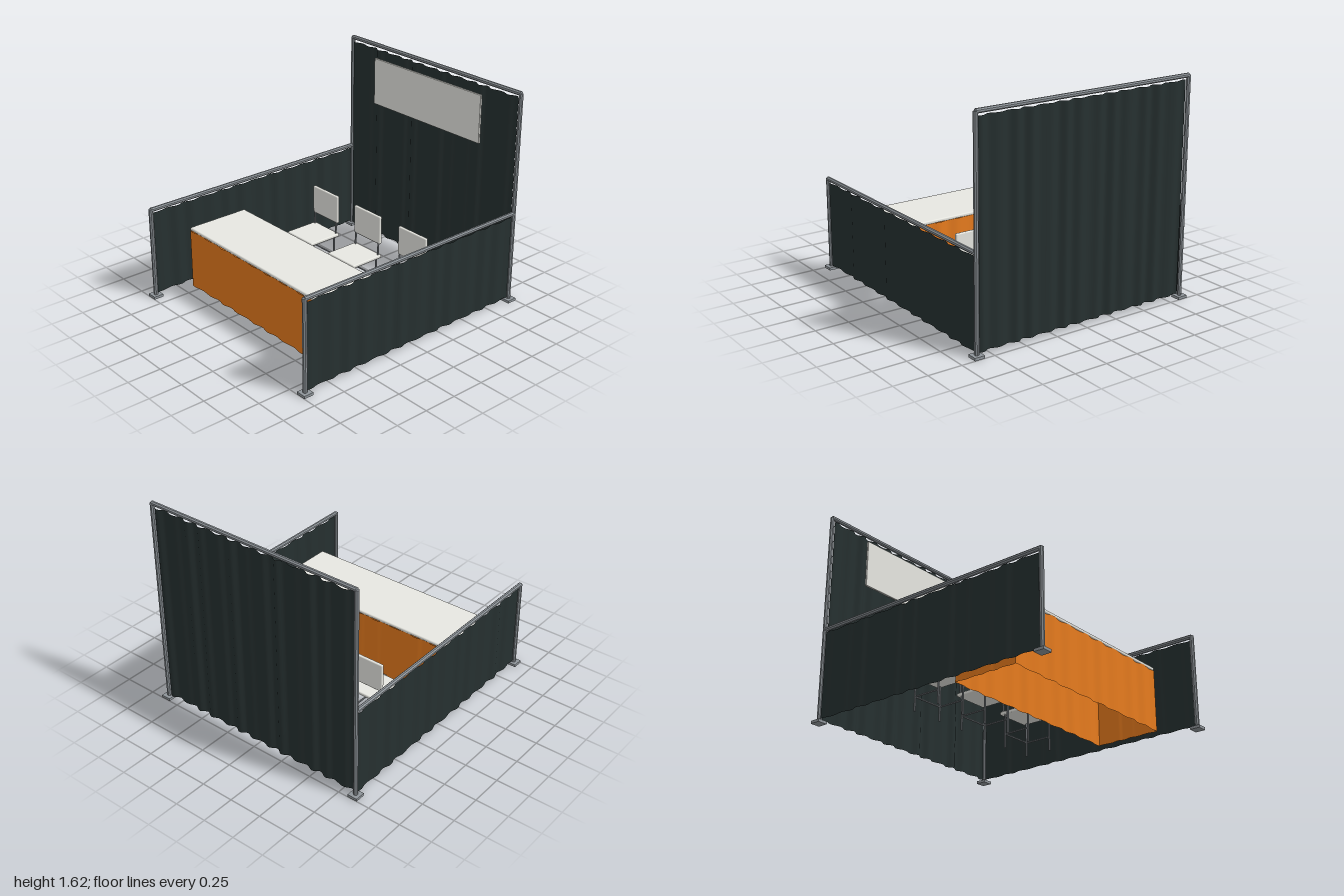
import * as THREE from 'three';
import { RoundedBoxGeometry } from 'three/addons/geometries/RoundedBoxGeometry.js';

const mat = (name, color, side = THREE.FrontSide) => {
  const m = new THREE.MeshStandardMaterial({ color, side });
  m.name = name;
  return m;
};

export function createModel() {
  const root = new THREE.Group();
  root.name = 'exhibitionBooth';
  const metal = mat('grey metal', 0x8f959a);
  metal.flatShading = true;
  const drapeMat = mat('dark drape', 0x263030, THREE.DoubleSide);
  const skirtMat = mat('orange cloth', 0xe67b1e, THREE.DoubleSide);
  const pale = mat('pale grey', 0xe8e8e2);

  const add = (parent, name, geo, material, x = 0, y = 0, z = 0) => {
    const m = new THREE.Mesh(geo, material);
    m.name = name;
    m.position.set(x, y, z);
    parent.add(m);
    return m;
  };

  // Eight-sided tube between two points, flat faces to the front
  const rod = (parent, name, a, b, r) => {
    const p = new THREE.Vector3(...a), q = new THREE.Vector3(...b);
    const d = q.clone().sub(p);
    const geo = new THREE.CylinderGeometry(r, r, d.length(), 8, 1, false, Math.PI / 8);
    const m = add(parent, name, geo, metal);
    m.position.copy(p).add(q).multiplyScalar(0.5);
    m.quaternion.setFromUnitVectors(new THREE.Vector3(0, 1, 0), d.normalize());
  };

  // Hanging cloth with soft, slightly uneven vertical folds
  const cloth = (parent, name, width, y0, y1, folds, depth, material) => {
    const geo = new THREE.PlaneGeometry(width, y1 - y0, folds * 12, 1);
    const pos = geo.attributes.position;
    for (let i = 0; i < pos.count; i++) {
      const t = (pos.getX(i) / width + 0.5) * Math.PI * 2 * folds;
      pos.setZ(i, depth * (0.75 * Math.sin(t) + 0.25 * Math.sin(t * 1.37 + 1)));
    }
    geo.computeVertexNormals();
    return add(parent, name, geo, material, 0, (y0 + y1) / 2, 0);
  };

  // Frame: posts, feet and top rails
  const frame = new THREE.Group();
  frame.name = 'frame';
  root.add(frame);
  const PX = 0.863, PZ = 0.962, R = 0.0165;
  for (const s of [-1, 1]) {
    for (const [end, z, h] of [['back', -PZ, 1.6], ['front', PZ, 0.705]]) {
      add(frame, end + 'Foot', new THREE.BoxGeometry(0.076, 0.02, 0.076), metal, s * PX, 0.01, z);
      rod(frame, end + 'Post', [s * PX, 0.015, z], [s * PX, h, z], R);
    }
    rod(frame, 'sideRail', [s * PX, 0.7, -PZ], [s * PX, 0.7, PZ], R);
  }
  rod(frame, 'backRail', [-PX, 1.6, -PZ], [PX, 1.6, -PZ], R);

  // Drapes
  cloth(root, 'backDrape', 1.69, 0.03, 1.57, 13, 0.015, drapeMat).position.z = -0.957;
  for (const s of [-1, 1]) {
    const d = cloth(root, 'sideDrape', 1.89, 0.03, 0.675, 12, 0.01, drapeMat);
    d.rotation.y = s * Math.PI / 2;
    d.position.x = s * PX;
  }

  // Hanging sign board
  add(root, 'signBoard', new RoundedBoxGeometry(1.1, 0.365, 0.018, 2, 0.005), pale, 0, 1.335, -0.909);

  // Skirted table
  const table = new THREE.Group();
  table.name = 'table';
  table.position.z = 0.443;
  root.add(table);
  add(table, 'tableTop', new RoundedBoxGeometry(1.56, 0.026, 0.494, 2, 0.01), pale, 0, 0.495, 0);
  for (const s of [-1, 1]) {
    const long = cloth(table, s > 0 ? 'frontSkirt' : 'backSkirt', 1.56, 0.03, 0.484, 9, 0.008, skirtMat);
    long.position.z = s * 0.244;
    if (s < 0) long.rotation.y = Math.PI;
    const short = cloth(table, 'endSkirt', 0.488, 0.03, 0.484, 4, 0.007, skirtMat);
    short.rotation.y = s * Math.PI / 2;
    short.position.x = s * 0.779;
  }

  // Chairs
  for (const x of [-0.473, 0, 0.473]) {
    const chair = new THREE.Group();
    chair.name = 'chair';
    chair.position.x = x;
    root.add(chair);
    add(chair, 'seat', new RoundedBoxGeometry(0.285, 0.025, 0.275, 2, 0.008), pale, 0, 0.28, -0.223);
    add(chair, 'backrest', new RoundedBoxGeometry(0.28, 0.22, 0.024, 2, 0.008), pale, 0, 0.49, -0.352);
    for (const s of [-1, 1]) {
      const lx = s * 0.123;
      rod(chair, 'frontLeg', [lx, 0.018, -0.115], [lx, 0.275, -0.115], 0.0075);
      rod(chair, 'backLeg', [lx, 0.018, -0.325], [lx, 0.275, -0.325], 0.0075);
      rod(chair, 'backUpright', [lx, 0.27, -0.34], [lx, 0.45, -0.35], 0.0075);
      rod(chair, 'sideRung', [lx, 0.12, -0.115], [lx, 0.12, -0.325], 0.006);
    }
    rod(chair, 'crossRung', [-0.123, 0.12, -0.325], [0.123, 0.12, -0.325], 0.006);
  }
  return root;
}
